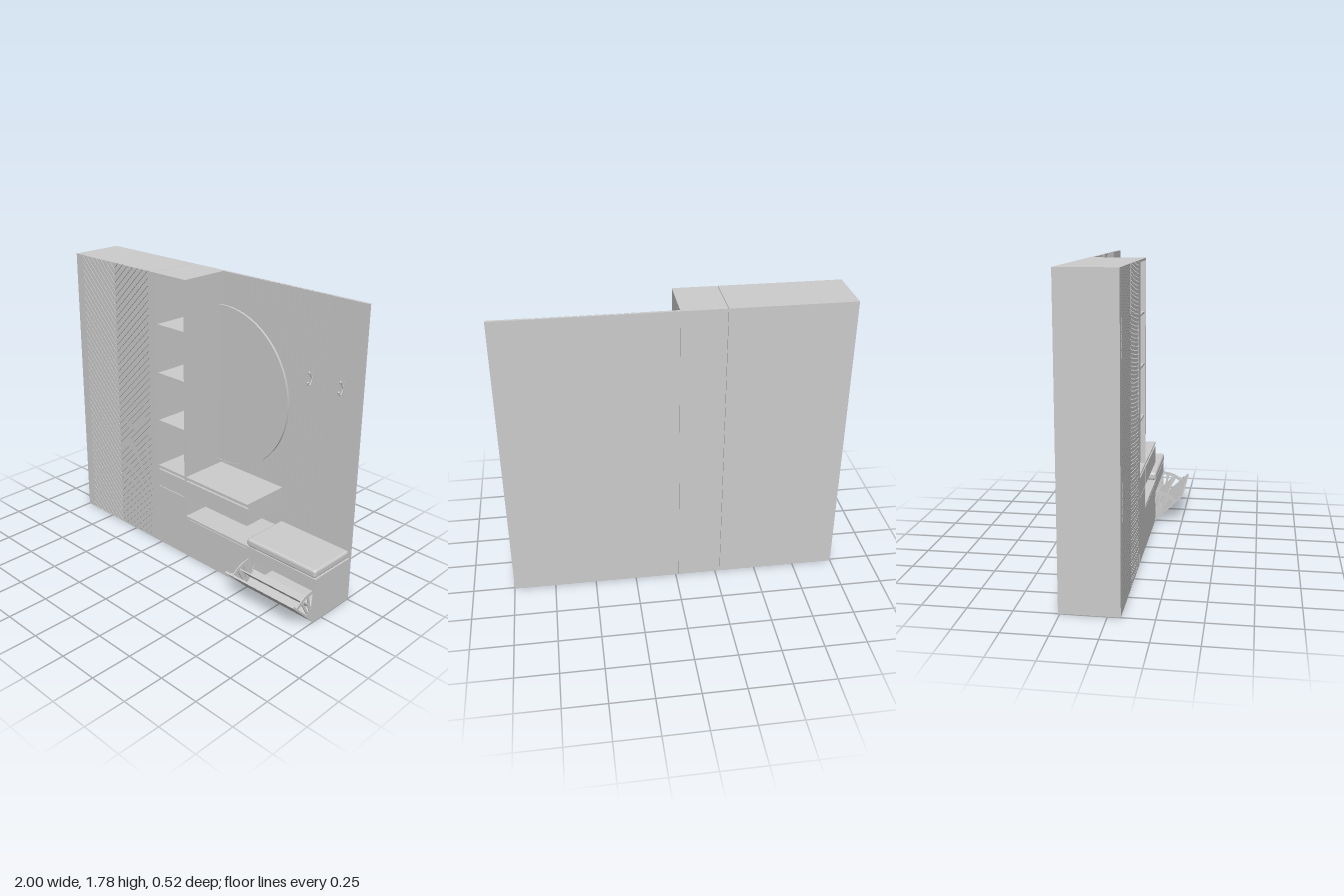
import * as THREE from 'three';
import { RoundedBoxGeometry } from 'three/addons/geometries/RoundedBoxGeometry.js';

const grey = new THREE.MeshStandardMaterial({ color: 0xcccccc, side: THREE.DoubleSide });
const H = 1.78, BACK = -0.26, FRONT = 0.07;

function add(parent, name, geometry) {
  const mesh = new THREE.Mesh(geometry, grey);
  mesh.name = name;
  parent.add(mesh);
  return mesh;
}

// Box given by its limits on each axis
function box(parent, name, x0, x1, y0, y1, z0, z1) {
  const mesh = add(parent, name, new THREE.BoxGeometry(x1 - x0, y1 - y0, z1 - z0));
  mesh.position.set((x0 + x1) / 2, (y0 + y1) / 2, (z0 + z1) / 2);
  return mesh;
}

function part(parent, name) {
  const group = new THREE.Group();
  group.name = name;
  parent.add(group);
  return group;
}

// Keep the part of a polygon on one side of a horizontal line
function clipY(points, limit, sign) {
  const out = [];
  points.forEach((a, i) => {
    const b = points[(i + 1) % points.length];
    const da = (a.y - limit) * sign, db = (b.y - limit) * sign;
    if (da >= 0) out.push(a);
    if (da * db < 0) out.push(a.clone().lerp(b, da / (da - db)));
  });
  return out;
}

// Tall wardrobe with chevron slats on its two doors
function wardrobe(root) {
  const g = part(root, 'wardrobe');
  box(g, 'wardrobeBody', -1, -0.281, 0, H, BACK, 0.064);
  box(g, 'leftStile', -1, -0.942, 0, H, 0.064, FRONT);
  box(g, 'rightStile', -0.331, -0.281, 0, H, 0.064, FRONT);
  const mid = -0.637, pitch = 0.0445, gap = 0.005, drop = 0.3;
  for (const outer of [-0.938, -0.335]) {
    const inner = mid + Math.sign(outer - mid) * 0.0015;
    for (let y = -drop; y < H + drop; y += pitch) {
      const top = y + pitch - gap;
      let pts = [[outer, y + drop], [inner, y], [inner, top], [outer, top + drop]]
        .map(p => new THREE.Vector2(...p));
      pts = clipY(clipY(pts, 0, 1), H, -1);
      if (pts.length < 3) continue;
      const geo = new THREE.ExtrudeGeometry(new THREE.Shape(pts), { depth: 0.006, bevelEnabled: false });
      add(g, 'chevronSlat', geo).position.z = 0.064;
    }
  }
}

// Open shelf column above a drawer and a small cupboard
function shelfColumn(root) {
  const g = part(root, 'shelfColumn');
  const x0 = -0.279, x1 = -0.02, t = 0.014;
  box(g, 'columnSide', x0, x0 + t, 0, H, BACK, FRONT);
  box(g, 'columnSide', x1 - t, x1, 0, H, BACK, FRONT);
  box(g, 'columnBack', x0 + t, x1 - t, 0, H, BACK, -0.248);
  box(g, 'columnTop', x0 + t, x1 - t, H - t, H, -0.248, FRONT);
  for (const y of [0.85, 1.16, 1.465]) box(g, 'shelf', x0 + t, x1 - t, y - 0.006, y + 0.006, -0.248, 0.062);
  for (let i = 0; i < 13; i++) {
    const x = x0 + t + 0.003 + i * 0.0177;
    box(g, 'backSlat', x, x + 0.012, 0.55, H - t, -0.248, -0.24);
  }
  box(g, 'cupboardDoor', x0 + t, x1 - t, 0, 0.405, -0.248, FRONT - 0.001);
  box(g, 'drawerFront', x0 + t, x1 - t, 0.41, 0.523, -0.248, FRONT - 0.001);
  box(g, 'fingerGroove', x0 + t, x1 - t, 0.523, 0.54, -0.248, 0.055);
  box(g, 'columnDeck', x0 + t, x1 - t, 0.54, 0.551, -0.248, FRONT);
}

// Wall panel with vertical slats
function wallPanel(root) {
  const g = part(root, 'wallPanel');
  box(g, 'panel', -0.019, 1, 0, H, BACK, -0.252);
  box(g, 'plainPanel', -0.019, 0.2, 0, H, -0.252, -0.243);
  box(g, 'plainPanel', 0.785, 1, 0, H, -0.252, -0.243);
  const n = 15, pitch = 0.585 / n;
  for (let i = 0; i < n; i++) {
    const x = 0.2 + i * pitch;
    box(g, 'wallSlat', x + 0.012, x + pitch, 0, H, -0.252, -0.243);
  }
}

// Half-round mirror with a thin raised rim
function mirror(root) {
  const g = part(root, 'mirror');
  g.position.set(0.025, 1.085, -0.219);
  const outline = r => {
    const a = Math.acos(-0.044 / r);
    return new THREE.Shape().absarc(0, 0, r, -a, a, false);
  };
  const opts = depth => ({ depth, bevelEnabled: false, curveSegments: 64 });
  add(g, 'mirrorGlass', new THREE.ExtrudeGeometry(outline(0.496), opts(0.009)));
  const rim = outline(0.505);
  rim.holes.push(outline(0.496));
  add(g, 'mirrorRim', new THREE.ExtrudeGeometry(rim, opts(0.013)));
  box(g, 'mirrorMount', -0.03, 0.25, 0.18, 0.4, -0.025, 0);
}

// Coat hook: plate, curved arm and two knobs
function hook(root, x) {
  const g = part(root, 'coatHook');
  g.position.set(x, 1.3, -0.243);
  box(g, 'hookPlate', -0.006, 0.006, -0.035, 0.03, 0, 0.005);
  const arm = (name, pts) => {
    const path = pts.map(([y, z]) => new THREE.Vector3(0, y, z));
    add(g, name, new THREE.TubeGeometry(new THREE.CatmullRomCurve3(path), 16, 0.004, 8));
    add(g, 'hookKnob', new THREE.SphereGeometry(0.007, 12, 8)).position.copy(path[path.length - 1]);
  };
  arm('upperArm', [[-0.01, 0.004], [0.012, 0.018], [0.035, 0.035]]);
  arm('lowerArm', [[0.01, 0.004], [-0.02, 0.012], [-0.04, 0.026], [-0.036, 0.04], [-0.022, 0.044]]);
}

// Floating drawer and the low cabinet beneath it
function consoleUnit(root) {
  const g = part(root, 'console');
  box(g, 'drawerBody', -0.019, 0.487, 0.411, 0.523, -0.243, FRONT);
  box(g, 'drawerGroove', -0.019, 0.487, 0.523, 0.54, -0.243, 0.055);
  box(g, 'drawerTop', -0.019, 0.487, 0.54, 0.551, -0.243, FRONT);
  box(g, 'lowCabinet', -0.019, 0.488, 0, 0.262, -0.243, FRONT);
  box(g, 'cabinetGroove', -0.019, 0.488, 0.262, 0.266, -0.243, 0.066);
  box(g, 'cabinetTop', -0.019, 0.488, 0.266, 0.28, -0.243, FRONT);
}

// Quarter-fan bracket with spokes
function fanGeometry() {
  const polar = (r, a) => new THREE.Vector2(r * Math.cos(a), r * Math.sin(a));
  const start = 0.76, end = 2.0, steps = 20;
  const arc = (r, a0, a1) => Array.from({ length: steps + 1 }, (_, i) => polar(r, a0 + (a1 - a0) * i / steps));
  const shape = new THREE.Shape([new THREE.Vector2(), ...arc(0.195, start, end)]);
  const step = (end - start) / 4;
  for (let i = 0; i < 4; i++) {
    const a = start + i * step;
    shape.holes.push(new THREE.Path([...arc(0.173, a + 0.05, a + step - 0.05),
      ...arc(0.075, a + step - 0.09, a + 0.09)]));
  }
  return new THREE.ExtrudeGeometry(shape, { depth: 0.006, bevelEnabled: false }).rotateY(-Math.PI / 2);
}

// Cushioned bench with an open tilting shoe flap
function bench(root) {
  const g = part(root, 'shoeBench');
  const x0 = 0.49, x1 = 1, t = 0.012;
  box(g, 'benchSide', x0, x0 + t, 0, 0.28, -0.243, FRONT);
  box(g, 'benchSide', x1 - t, x1, 0, 0.28, -0.243, FRONT);
  box(g, 'benchFloor', x0 + t, x1 - t, 0, t, -0.243, 0.06);
  box(g, 'benchTop', x0 + t, x1 - t, 0.268, 0.28, -0.243, FRONT);
  box(g, 'benchApron', x0 + t, x1 - t, 0.2, 0.268, 0.05, FRONT);
  const cushion = add(g, 'cushion', new RoundedBoxGeometry(0.506, 0.052, 0.314, 4, 0.016));
  cushion.position.set(0.745, 0.308, -0.083);

  const flap = part(g, 'shoeFlap');
  flap.position.z = FRONT;
  flap.rotation.x = 0.8;
  box(flap, 'flapFront', x0 + 0.002, x1 - 0.002, 0.002, 0.258, -0.012, 0);
  box(flap, 'shoeDivider', 0.505, 0.985, 0.03, 0.165, -0.068, -0.06);
  box(flap, 'shoeLedge', 0.505, 0.985, 0.03, 0.038, -0.11, -0.012);
  const fan = fanGeometry();
  for (const x of [0.511, 0.985]) add(g, 'fanBracket', fan).position.set(x, 0.006, 0.072);
  for (const x of [0.515, 0.975]) {
    const stud = add(flap, 'flapStud', new THREE.CylinderGeometry(0.005, 0.005, 0.006, 12));
    stud.rotation.x = Math.PI / 2;
    stud.position.set(x, 0.225, -0.015);
  }
}

export function createModel() {
  const root = new THREE.Group();
  root.name = 'hallwayUnit';
  wardrobe(root);
  shelfColumn(root);
  wallPanel(root);
  mirror(root);
  hook(root, 0.67);
  hook(root, 0.88);
  consoleUnit(root);
  bench(root);
  return root;
}
